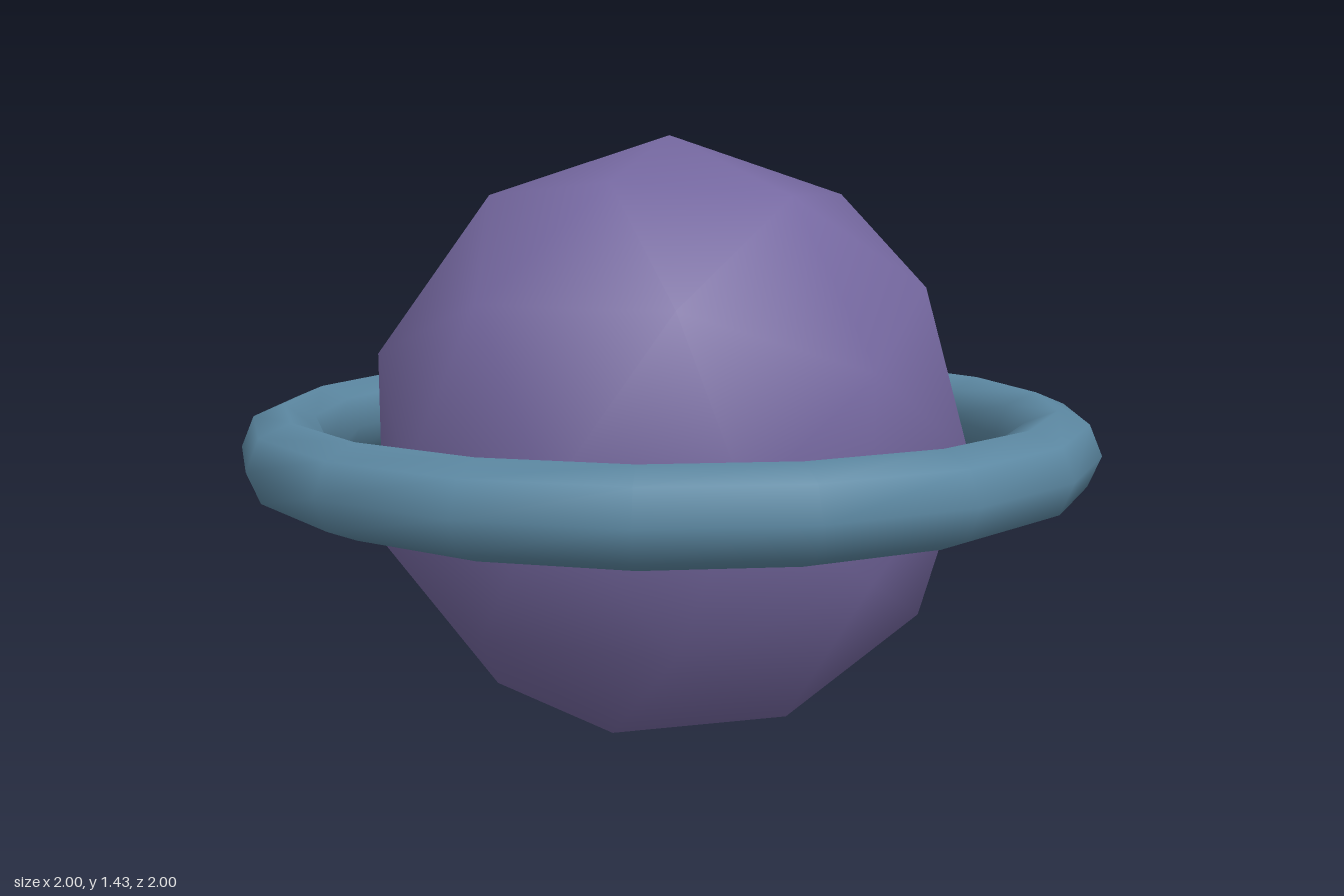
import * as THREE from 'three';

const RADIUS = 0.7166; // planet radius, also the height of its centre

function addPart(group, name, geometry, color) {
  const mesh = new THREE.Mesh(geometry, new THREE.MeshStandardMaterial({ color }));
  mesh.name = name;
  mesh.position.y = RADIUS;
  group.add(mesh);
}

export function createModel() {
  const group = new THREE.Group();
  group.name = 'ringedPlanet';

  // Low-poly globe with smooth normals, turned about its axis
  const globe = new THREE.IcosahedronGeometry(RADIUS, 1);
  globe.rotateY(1.2);
  addPart(group, 'planet', globe, 0x7568a0);

  // Flat-lying ring around the equator
  const ring = new THREE.TorusGeometry(RADIUS * 1.26, RADIUS * 0.14, 8, 18);
  ring.rotateX(Math.PI / 2).rotateY(0.08);
  addPart(group, 'ring', ring, 0x5c88a2);

  return group;
}
